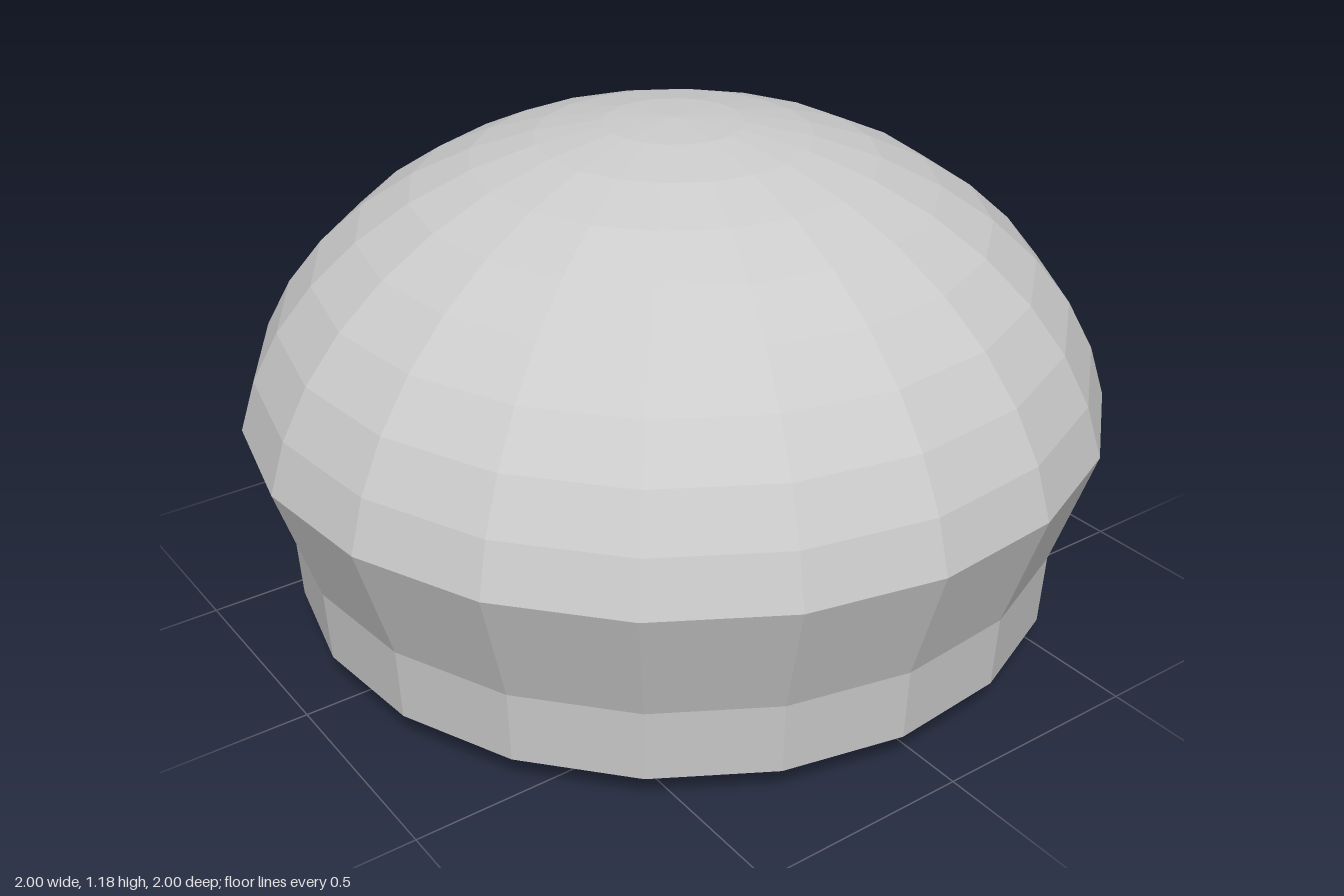
import * as THREE from 'three';

const SIDES = 20;
const TWIST = THREE.MathUtils.degToRad(-3.6); // small turn about the vertical axis
const RIM_RADIUS = 1.002, RIM_Y = 0.53, TOP_Y = 1.185;

const material = new THREE.MeshStandardMaterial({ color: 0xcccccc, flatShading: true });

// Faceted ring surface from a profile running bottom to top
function turned(name, profile) {
  const points = profile.map(([r, y]) => new THREE.Vector2(r, y));
  const mesh = new THREE.Mesh(new THREE.LatheGeometry(points, SIDES, TWIST), material);
  mesh.name = name;
  return mesh;
}

// Flattened sphere profile in 9 degree steps, stopping just above its equator
function domeProfile() {
  const step = Math.PI / 20, rings = 9;
  const radius = RIM_RADIUS / Math.sin(rings * step);
  const height = (TOP_Y - RIM_Y) / (1 - Math.cos(rings * step));
  const profile = [];
  for (let i = rings; i >= 0; i--) {
    profile.push([radius * Math.sin(i * step), TOP_Y - height * (1 - Math.cos(i * step))]);
  }
  return profile;
}

export function createModel() {
  const group = new THREE.Group();
  group.name = 'domedCap';
  group.add(
    turned('underside', [[0, 0], [0.903, 0.08]]), // shallow cone
    turned('base', [[0.903, 0.08], [0.912, 0.25]]),
    turned('flaredNeck', [[0.912, 0.25], [RIM_RADIUS, RIM_Y]]),
    turned('dome', domeProfile())
  );
  return group;
}
